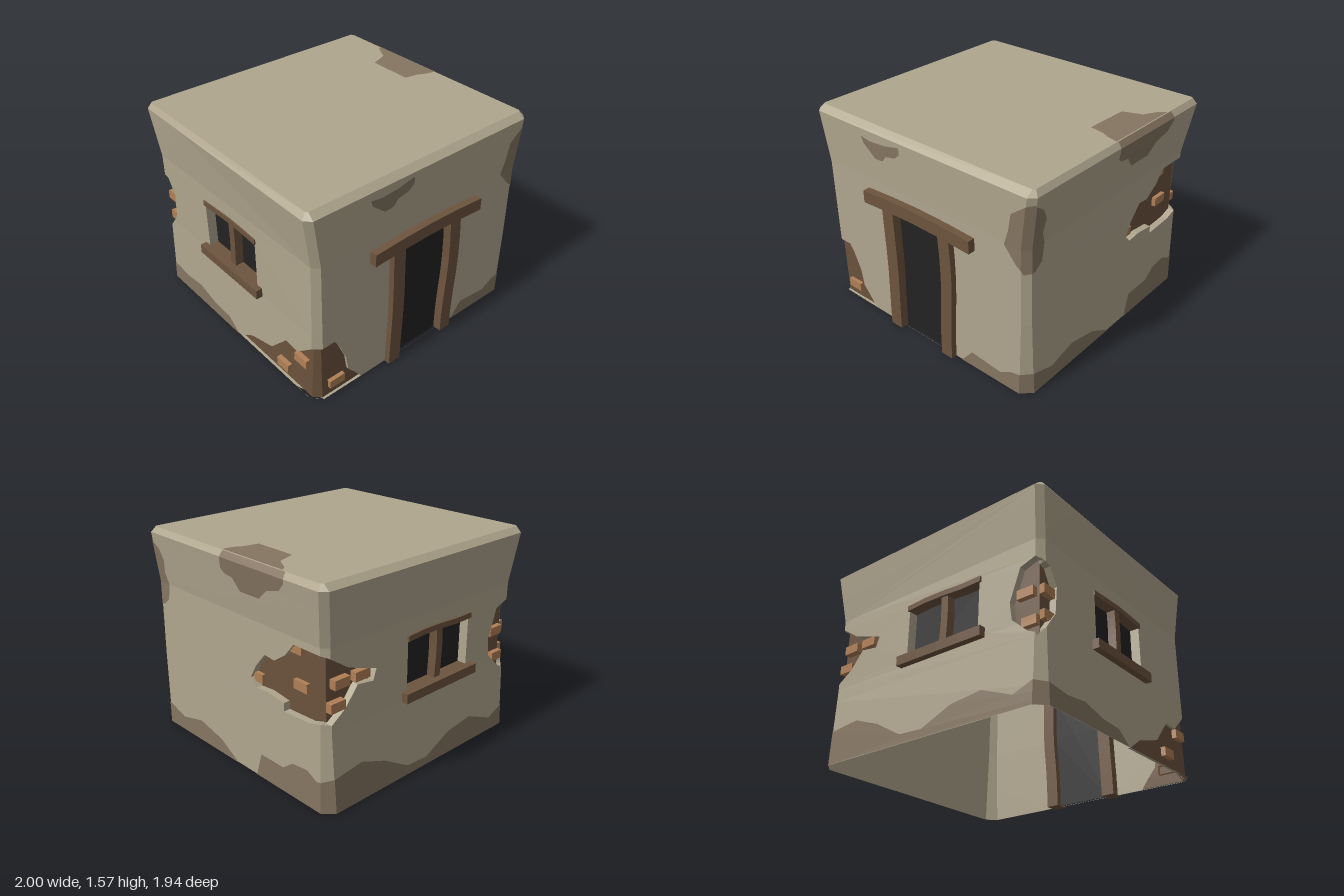
import * as THREE from 'three';

const mat = (name, color) => {
  const m = new THREE.MeshStandardMaterial({ color, side: THREE.DoubleSide });
  m.name = name;
  return m;
};

// Wall rings, bottom to top: height, corner chamfer, then corners (front +x, back +x, back -x, front -x)
const LEVELS = [
  [0, 0.07, [0.96, 0.915], [0.955, -0.95], [-0.95, -0.95], [-0.95, 0.915]],
  [0.58, 0.05, [0.95, 0.915], [0.945, -0.92], [-0.935, -0.92], [-0.94, 0.915]],
  [1.15, 0.045, [0.94, 0.915], [0.945, -0.915], [-0.94, -0.915], [-0.94, 0.915]],
  [1.53, 0.045, [0.985, 0.925], [1.0, -0.965], [-0.975, -0.965], [-1.0, 0.925]],
  [1.57, 0.015, [0.955, 0.875], [0.97, -0.92], [-0.95, -0.92], [-0.965, 0.875]],
];
// Running direction of each side: front, +x side, back, -x side
const DIRS = [[1, 0], [0, -1], [-1, 0], [0, 1]];
const S_BREAKS = [-2.5, -1.1, -0.9, 0.9, 1.1, 2.9, 3.1, 4.9, 5.1, 5.5];
const lerp = (a, b, f) => a + (b - a) * f;

// Point on one ring. Side k runs over s = 2k-0.9..2k+0.9, the chamfer after it fills the gap.
function ringPoint(level, s, off) {
  const k0 = Math.floor((s + 0.9) / 2 + 1e-9), t = s - 2 * k0;
  const k = ((k0 % 4) + 4) % 4, n = (k + 1) % 4;
  const c = level[1], d = DIRS[k], e = DIRS[n];
  const corner = (j) => level[2 + ((j + 4) % 4)];
  const end = corner(k).map((v, i) => v - c * d[i]);
  const start = corner(k - 1).map((v, i) => v + c * d[i]);
  const next = corner(k).map((v, i) => v + c * e[i]);
  const nk = [-d[1], d[0]], nn = [-e[1], e[0]];
  if (t <= 0.9) {
    const f = (t + 0.9) / 1.8;
    return [0, 1].map((i) => lerp(start[i], end[i], f) + off * nk[i]);
  }
  const f = (t - 0.9) / 0.2;
  return [0, 1].map((i) => lerp(end[i], next[i], f) + off * lerp(nk[i], nn[i], f));
}

// Unwrapped wall coordinates (s around, y up, off outward) to space
function wallPoint([s, y], off) {
  let i = 0;
  while (i < LEVELS.length - 2 && y > LEVELS[i + 1][0]) i++;
  const f = (y - LEVELS[i][0]) / (LEVELS[i + 1][0] - LEVELS[i][0]);
  const a = ringPoint(LEVELS[i], s, off), b = ringPoint(LEVELS[i + 1], s, off);
  return [lerp(a[0], b[0], f), y, lerp(a[1], b[1], f)];
}

function clip(poly, axis, limit, sign) {
  const out = [];
  poly.forEach((p, i) => {
    const q = poly[(i + 1) % poly.length];
    const a = sign * (p[axis] - limit), b = sign * (q[axis] - limit);
    if (a >= 0) out.push(p);
    if (a * b < 0) out.push([0, 1].map((j) => lerp(p[j], q[j], a / (a - b))));
  });
  return out;
}

function facesToGeometry(pos) {
  const g = new THREE.BufferGeometry();
  g.setAttribute('position', new THREE.Float32BufferAttribute(pos, 3));
  g.computeVertexNormals();
  return g;
}

// A flat outline (with holes) wrapped onto the walls, split at every crease
function wrap(outline, off = 0, holes = []) {
  const vec = (l) => l.map((p) => new THREE.Vector2(...p));
  const all = [outline, ...holes].flat(), pos = [];
  for (const face of THREE.ShapeUtils.triangulateShape(vec(outline), holes.map(vec))) {
    const tri = face.map((i) => all[i]);
    if (THREE.ShapeUtils.area(vec(tri)) < 0) tri.reverse();
    for (let i = 0; i < S_BREAKS.length - 1; i++) for (let j = 0; j < LEVELS.length - 1; j++) {
      let p = clip(clip(tri, 0, S_BREAKS[i], 1), 0, S_BREAKS[i + 1], -1);
      p = clip(clip(p, 1, LEVELS[j][0], 1), 1, LEVELS[j + 1][0], -1);
      for (let n = 1; n < p.length - 1; n++)
        for (const q of [p[0], p[n], p[n + 1]]) pos.push(...wallPoint(q, off));
    }
  }
  return facesToGeometry(pos);
}

// Broken edge around an opening, from the wall surface inward
function rim(outline, depth) {
  const pos = [], N = 4;
  outline.forEach((p, i) => {
    const q = outline[(i + 1) % outline.length];
    for (let n = 0; n < N; n++) {
      const a = [0, 1].map((j) => lerp(p[j], q[j], n / N));
      const b = [0, 1].map((j) => lerp(p[j], q[j], (n + 1) / N));
      const [a0, b0, a1, b1] = [wallPoint(a, 0), wallPoint(b, 0), wallPoint(a, -depth), wallPoint(b, -depth)];
      pos.push(...a0, ...a1, ...b1, ...a0, ...b1, ...b0);
    }
  });
  return facesToGeometry(pos);
}

const rect = (x0, x1, y0, y1) => [[x0, y0], [x1, y0], [x1, y1], [x0, y1]];

export function createModel() {
  const plaster = mat('plaster', 0xb0a68e), stain = mat('stained plaster', 0x857561);
  const core = mat('exposed mud', 0x6b523c), brick = mat('brick', 0xb07f56);
  const wood = mat('wood', 0x6d543e), dark = mat('dark opening', 0x222222);
  const model = new THREE.Group();
  const add = (name, geo, m, parent = model) => {
    const mesh = new THREE.Mesh(geo, m);
    mesh.name = name;
    parent.add(mesh);
    return mesh;
  };

  // Places where the plaster has fallen off
  const bites = [
    [[-1.95, 0.002], [-0.56, 0.002], [-0.62, 0.08], [-0.68, 0.15], [-0.7, 0.28], [-0.76, 0.42], [-0.8, 0.48],
      [-1.1, 0.47], [-1.25, 0.34], [-1.38, 0.35], [-1.55, 0.17], [-1.8, 0.1]],
    [[2.19, 0.73], [2.25, 0.67], [2.37, 0.68], [2.54, 0.66], [2.54, 0.6], [2.8, 0.61], [2.9, 0.64], [3.1, 0.63],
      [3.22, 0.71], [3.33, 0.84], [3.47, 0.82], [3.5, 0.9], [3.4, 0.93], [3.25, 0.98], [3.1, 1.08], [2.9, 1.1],
      [2.65, 1.1], [2.56, 1.0], [2.45, 0.93], [2.35, 0.94], [2.25, 0.83]],
    [[4.7, 0.75], [4.72, 0.62], [4.85, 0.5], [4.95, 0.46], [5.1, 0.52], [5.2, 0.65], [5.22, 0.85], [5.15, 0.97],
      [5.03, 1.0], [4.9, 1.02], [4.78, 0.98]],
  ];
  const windows = [rect(3.8, 4.44, 0.62, 1.03), rect(-2.32, -1.71, 0.62, 1.03)];
  const door = rect(-0.25, 0.26, 0.002, 1.0);

  // Plaster shell and roof
  add('walls', wrap(rect(-2.5, 5.5, 0, 1.57), 0, [...bites, ...windows, door]), plaster);
  const ring = S_BREAKS.slice(1, 9).map((s) => wallPoint([s, 1.57], 0));
  add('roof', facesToGeometry([1, 2, 3, 4, 5, 6].flatMap((i) => [...ring[0], ...ring[i], ...ring[i + 1]])), plaster);

  // Exposed mud with bricks standing out of it
  bites.forEach((b, i) => {
    const depth = i ? 0.05 : 0.02;
    add('exposedWall', wrap(b, -depth), core);
    add('brokenPlasterEdge', rim(b, depth), plaster);
  });
  const bricks = [[-0.785, 0.11, 0.01], [-1.2, 0.3, 0.015], [-1.4, 0.11, 0.015], [2.635, 1.065, -0.02], [2.685, 0.82, -0.02],
    [2.245, 0.735, -0.02], [3.16, 0.74, 0], [3.2, 0.89, 0], [3.38, 0.89, 0],
    [4.81, 0.79, -0.01], [4.85, 0.58, -0.01], [5.15, 0.8, -0.01], [5.14, 0.62, -0.01]];
  for (const [s, y, off] of bricks) {
    const r = rect(s - (s === 2.245 ? 0.045 : 0.065), s + (s === 2.245 ? 0.045 : 0.065), y - 0.033, y + 0.033);
    const face = wrap(r, off), sides = [];
    r.forEach((p, i) => {
      const q = r[(i + 1) % 4];
      const [a, b, c, d] = [wallPoint(p, -0.05), wallPoint(q, -0.05), wallPoint(q, off), wallPoint(p, off)];
      sides.push(...a, ...b, ...c, ...a, ...c, ...d);
    });
    add('brick', face, brick);
    add('brickSides', facesToGeometry(sides), brick);
  }

  // Damp stains
  const stains = [
    [[-0.48, 1.475], [-0.47, 1.43], [-0.37, 1.34], [-0.3, 1.345], [-0.26, 1.39], [-0.17, 1.41], [-0.125, 1.45],
      [-0.125, 1.5], [-0.26, 1.47], [-0.4, 1.46]],
    [[0.37, 0], [2, 0], [1.8, 0.11], [1.54, 0.165], [1.3, 0.11], [1.1, 0.17], [0.9, 0.165], [0.83, 0.15], [0.73, 0.095], [0.47, 0.12]],
    [[0.9, 1.47], [0.8, 1.38], [0.79, 1.25], [0.765, 1.14], [0.86, 1.03], [0.95, 0.97], [1.13, 0.98], [1.2, 1.03],
      [1.22, 1.15], [1.19, 1.24], [1.21, 1.34], [1.17, 1.42], [1.08, 1.48]],
    [[1.94, 1.57], [1.94, 1.45], [1.98, 1.42], [2.06, 1.41], [2.13, 1.33], [2.33, 1.33], [2.42, 1.41], [2.54, 1.44],
      [2.59, 1.5], [2.59, 1.57]],
    [[2.22, 0], [5.5, 0], [5.5, 0.15], [5.3, 0.13], [5.1, 0.15], [4.9, 0.16], [4.75, 0.1], [4.5, 0.2], [4.25, 0.17],
      [4, 0.06], [3.8, 0.07], [3.57, 0.2], [3.35, 0.28], [3.1, 0.25], [2.86, 0.22], [2.77, 0.265], [2.62, 0.25],
      [2.52, 0.18], [2.28, 0.18]],
    [[-2.5, 0], [-1.97, 0], [-2.1, 0.09], [-2.3, 0.1], [-2.5, 0.15]],
  ];
  stains.forEach((p) => add('stain', wrap(p, 0.004), stain));
  const roofStain = new THREE.Shape([[0.965, 0.57], [0.92, 0.53], [0.86, 0.42], [0.72, 0.37], [0.71, 0.02], [0.82, 0],
    [0.88, -0.03], [0.96, -0.05]].map((p) => new THREE.Vector2(...p)));
  add('roofStain', new THREE.ShapeGeometry(roofStain).rotateX(-Math.PI / 2).translate(0, 1.574, 0), stain);

  // Beams, slightly bent by a rule over their length
  const beam = (name, x0, x1, y0, y1, z0, z1, parent, bendX = () => 0, bendY = () => 0) => {
    const g = new THREE.BoxGeometry(x1 - x0, y1 - y0, z1 - z0, 4, 6, 1);
    g.translate((x0 + x1) / 2, (y0 + y1) / 2, (z0 + z1) / 2);
    const p = g.attributes.position;
    for (let i = 0; i < p.count; i++) {
      const x = p.getX(i), y = p.getY(i);
      p.setXY(i, x + bendX(y), y + bendY(x));
    }
    const flat = g.toNonIndexed();
    flat.computeVertexNormals();
    return add(name, flat, wood, parent);
  };

  // Doorway
  const doorway = new THREE.Group();
  doorway.name = 'doorway';
  model.add(doorway);
  add('doorOpening', wrap(door, -0.02), dark, doorway);
  beam('leftJamb', 0.21, 0.31, 0, 1.0, 0.85, 0.96, doorway, (y) => 0.024 * Math.sin(Math.PI * Math.max(0, y - 0.25) / 0.85));
  beam('rightJamb', -0.31, -0.205, 0, 1.0, 0.85, 0.96, doorway, (y) => -0.006 * Math.cos(y * 6));
  beam('lintel', -0.49, 0.51, 0.98, 1.075, 0.86, 0.97, doorway, undefined, (x) => 0.02 * Math.cos(x * 3.1));

  // Windows: dark pane, reveal, sill, head and mullion
  [[2, -0.12, 0.92, 0.37], [3, -0.015, 0.937, 0.345]].forEach(([side, mid, dist, half], i) => {
    const w = new THREE.Group();
    w.name = i ? 'sideWindow' : 'backWindow';
    w.rotation.y = side * Math.PI / 2;
    model.add(w);
    const c = side === 2 ? -mid : mid;
    add('windowPane', wrap(windows[i], -0.07), dark);
    add('windowReveal', rim(windows[i], 0.07), plaster);
    beam('sill', c - half, c + half, 0.57, 0.64, dist - 0.08, dist + 0.05, w);
    beam('head', c - half + 0.04, c + half - 0.04, 1.0, 1.04, dist - 0.07, dist + 0.012, w, undefined, (x) => 0.008 * Math.cos(x * 9));
    beam('mullion', c - 0.03, c + 0.03, 0.62, 1.02, dist - 0.075, dist - 0.005, w, (y) => 0.008 * Math.sin(y * 9));
  });
  return model;
}
